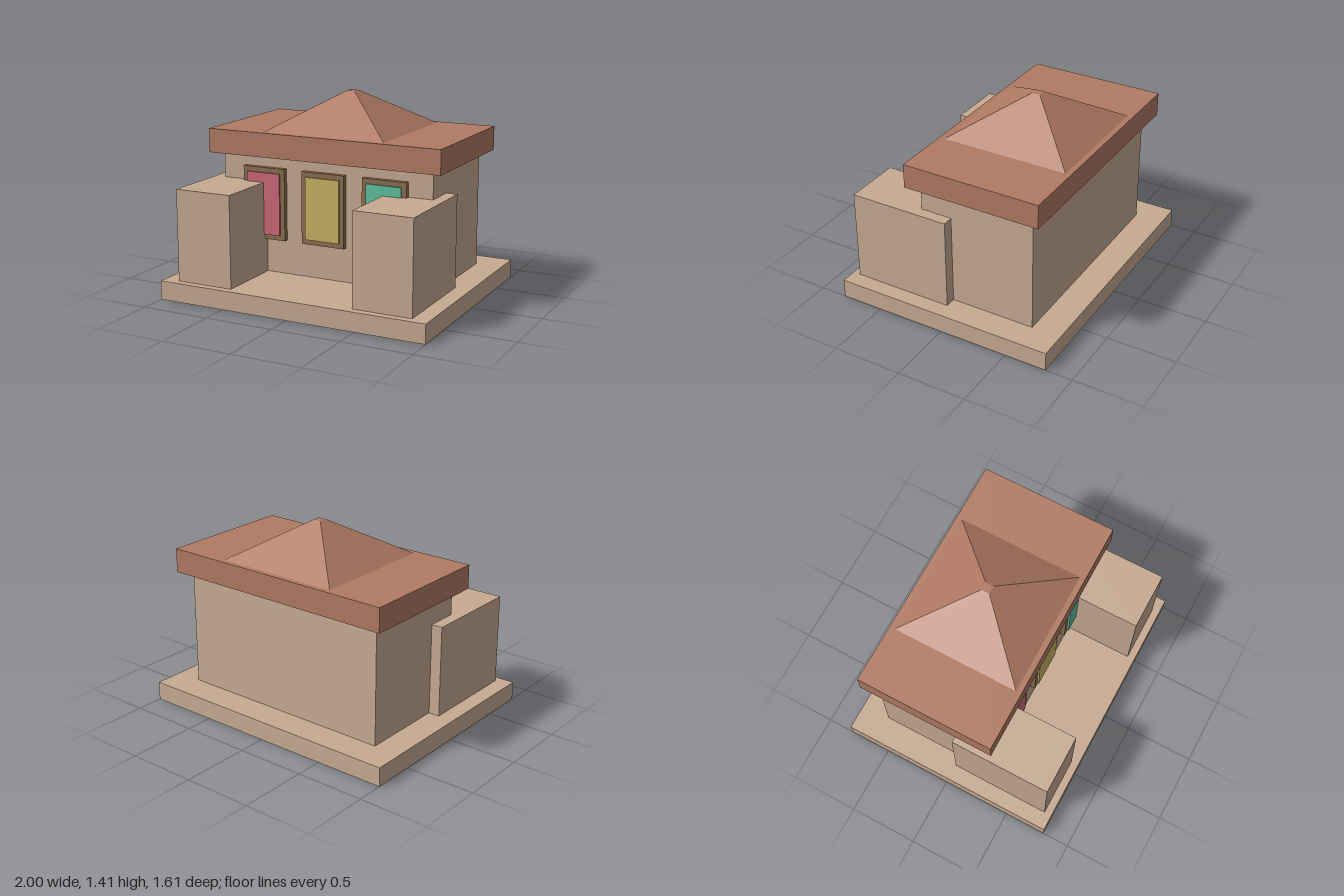
import * as THREE from 'three';

function material(name, color) {
  const m = new THREE.MeshStandardMaterial({ color });
  m.name = name;
  return m;
}

export function createModel() {
  const wall = material('sandstone', 0xc6aa92);
  const tile = material('terracotta', 0xb07a63);
  const wood = material('brown wood', 0x8b6f4f);
  const paneColors = [
    material('rose glass', 0xcd6878),
    material('yellow glass', 0xc8b364),
    material('teal glass', 0x60c0a0),
  ];

  const model = new THREE.Group();
  model.name = 'house';

  // Box given by its extents on each axis
  function box(name, mat, [x0, x1], [y0, y1], [z0, z1], parent = model) {
    const mesh = new THREE.Mesh(new THREE.BoxGeometry(x1 - x0, y1 - y0, z1 - z0), mat);
    mesh.position.set((x0 + x1) / 2, (y0 + y1) / 2, (z0 + z1) / 2);
    mesh.name = name;
    parent.add(mesh);
  }

  // Plinth and main hall
  box('plinth', wall, [-1, 1], [0, 0.135], [-0.805, 0.805]);
  box('hall', wall, [-0.805, 0.805], [0.135, 0.975], [-0.595, 0.25]);

  // Front wings
  box('leftWing', wall, [0.46, 0.885], [0.135, 0.79], [0.02, 0.75]);
  box('rightWing', wall, [-0.885, -0.46], [0.135, 0.79], [0.02, 0.75]);

  // Roof slab with a truncated pyramid on top
  box('roofSlab', tile, [-0.885, 0.885], [0.975, 1.147], [-0.675, 0.325]);
  const pyramid = new THREE.CylinderGeometry(0.03 * Math.SQRT2, 0.46 * Math.SQRT2, 0.265, 4)
    .rotateY(Math.PI / 4)
    .toNonIndexed();
  pyramid.computeVertexNormals();
  const roofTop = new THREE.Mesh(pyramid, tile);
  roofTop.name = 'roofPyramid';
  roofTop.position.set(0, 1.147 + 0.265 / 2, -0.175);
  model.add(roofTop);

  // Three framed windows along the front wall
  paneColors.forEach((glass, i) => {
    const x = (i - 1) * 0.464;
    const group = new THREE.Group();
    group.name = ['rightWindow', 'middleWindow', 'leftWindow'][i];
    box('frame', wood, [x - 0.164, x + 0.164], [0.38, 0.895], [0.25, 0.285], group);
    box('pane', glass, [x - 0.13, x + 0.13], [0.416, 0.86], [0.28, 0.298], group);
    model.add(group);
  });

  return model;
}
